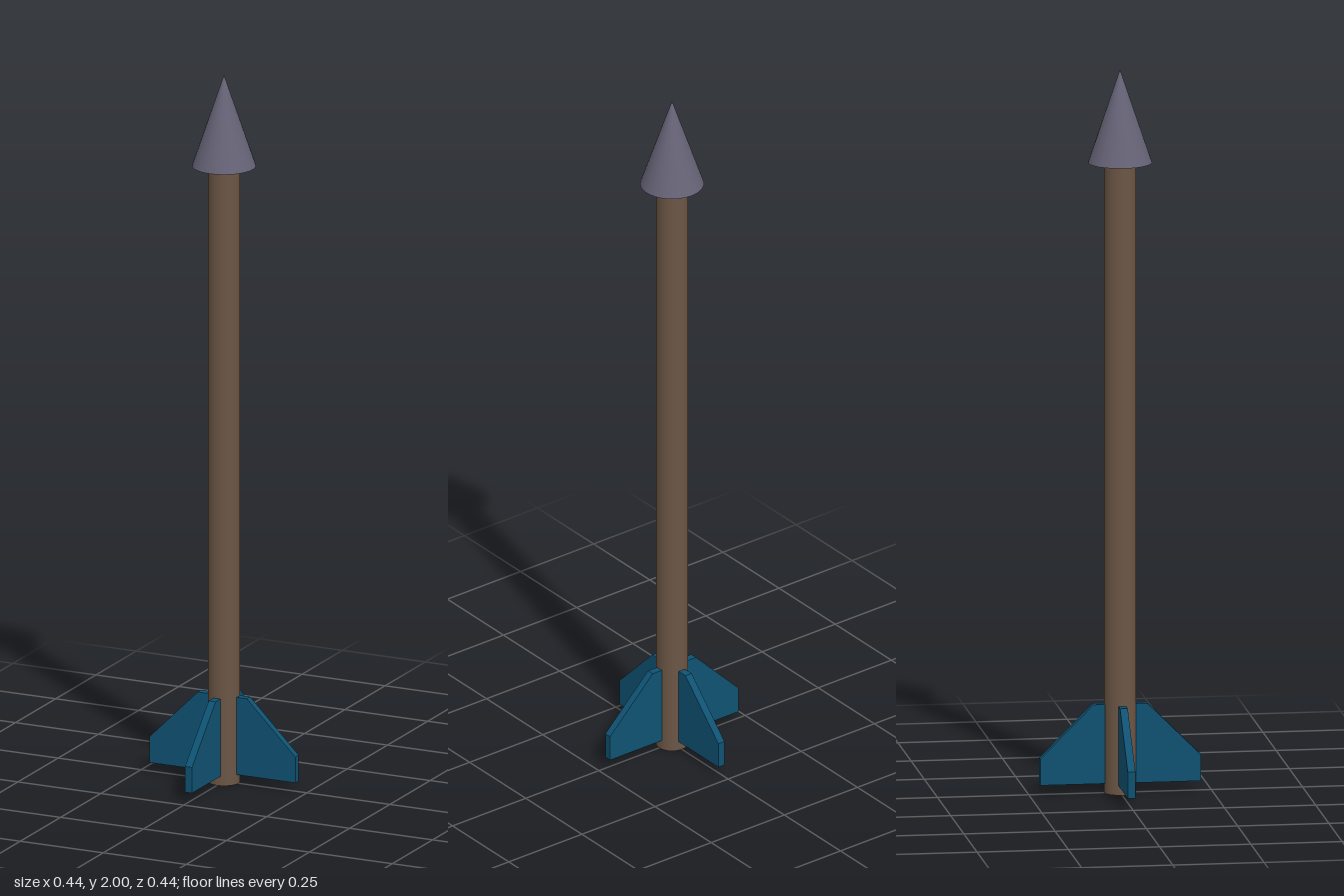
import * as THREE from 'three';

export function createModel() {
  const model = new THREE.Group();
  const material = (name, color) => {
    const m = new THREE.MeshStandardMaterial({ color });
    m.name = name;
    return m;
  };
  const brown = material('shaft brown', 0x6b5645);
  const grey = material('tip grey', 0x666377);
  const blue = material('fin blue', 0x0f5273);

  const add = (name, geometry, mat, y = 0) => {
    const mesh = new THREE.Mesh(geometry, mat);
    mesh.name = name;
    mesh.position.y = y;
    model.add(mesh);
    return mesh;
  };

  // Shaft and pointed tip
  const tipBase = 1.743, tipHeight = 2 - tipBase;
  add('shaft', new THREE.CylinderGeometry(0.044, 0.044, tipBase, 32), brown, tipBase / 2);
  add('tip', new THREE.ConeGeometry(0.087, tipHeight, 32), grey, tipBase + tipHeight / 2);

  // Four swept fins around the foot of the shaft
  const thickness = 0.021;
  const outline = new THREE.Shape([
    [0.02, 0.027], [0.22, 0.027], [0.22, 0.1], [0.074, 0.246], [0.02, 0.246],
  ].map(([x, y]) => new THREE.Vector2(x, y)));
  const finGeometry = new THREE.ExtrudeGeometry(outline, { depth: thickness, bevelEnabled: false });
  finGeometry.translate(0, 0, -thickness / 2);
  ['leftFin', 'backFin', 'rightFin', 'frontFin'].forEach((name, i) => {
    add(name, finGeometry, blue).rotation.y = i * Math.PI / 2;
  });

  return model;
}
